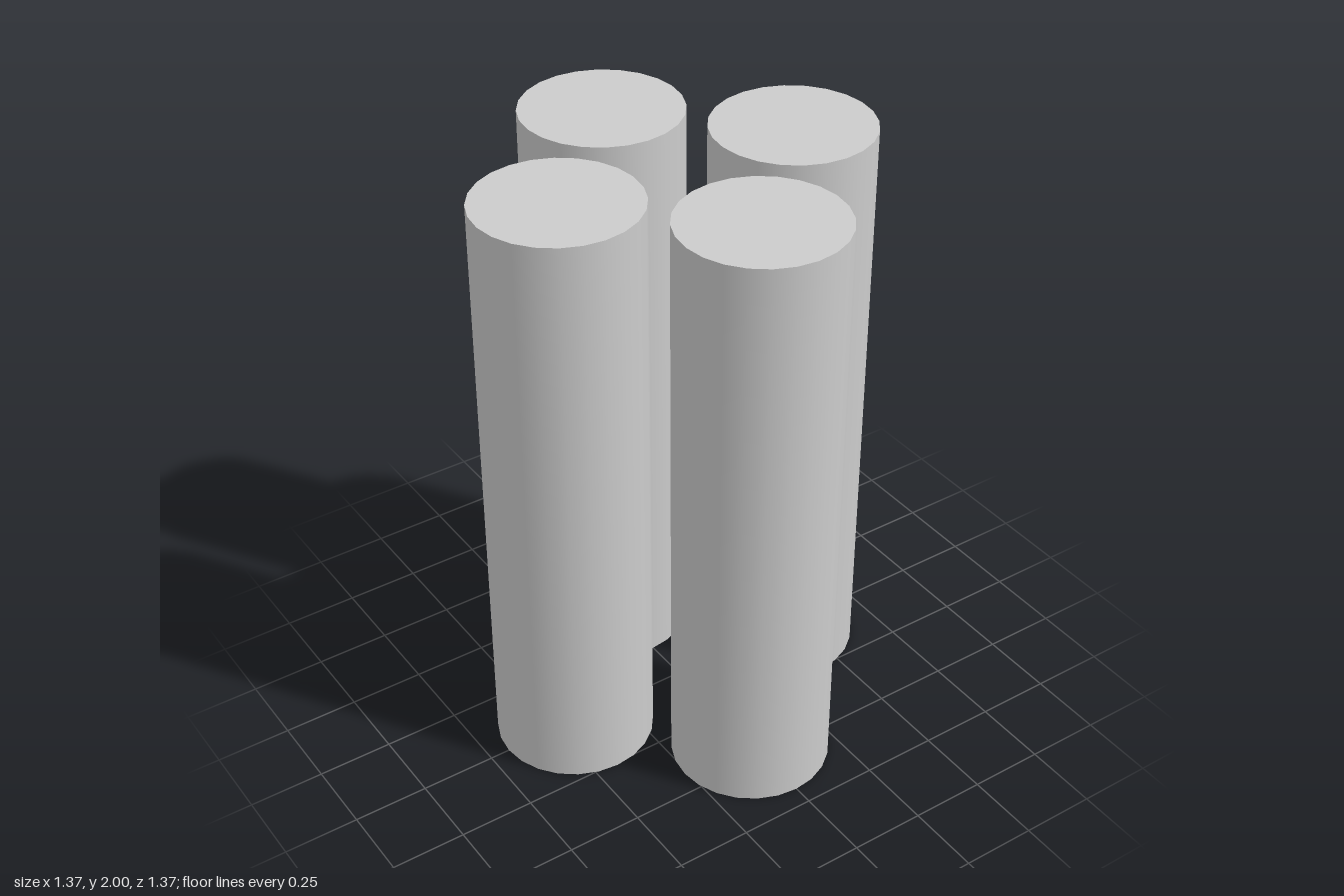
import * as THREE from 'three';

export function createModel() {
  const model = new THREE.Group();
  model.name = 'columnCluster';
  const material = new THREE.MeshStandardMaterial({ color: 0xcccccc });

  const radius = 0.262, height = 2, offset = 0.421;
  const geometry = new THREE.CylinderGeometry(radius, radius, height, 24);

  // Four equal round columns set in a cross around the centre
  const columns = [
    ['frontColumn', 0, 1],
    ['leftColumn', 1, 0],
    ['backColumn', 0, -1],
    ['rightColumn', -1, 0],
  ];
  for (const [name, x, z] of columns) {
    const column = new THREE.Mesh(geometry, material);
    column.name = name;
    column.position.set(x * offset, height / 2, z * offset);
    model.add(column);
  }
  return model;
}
